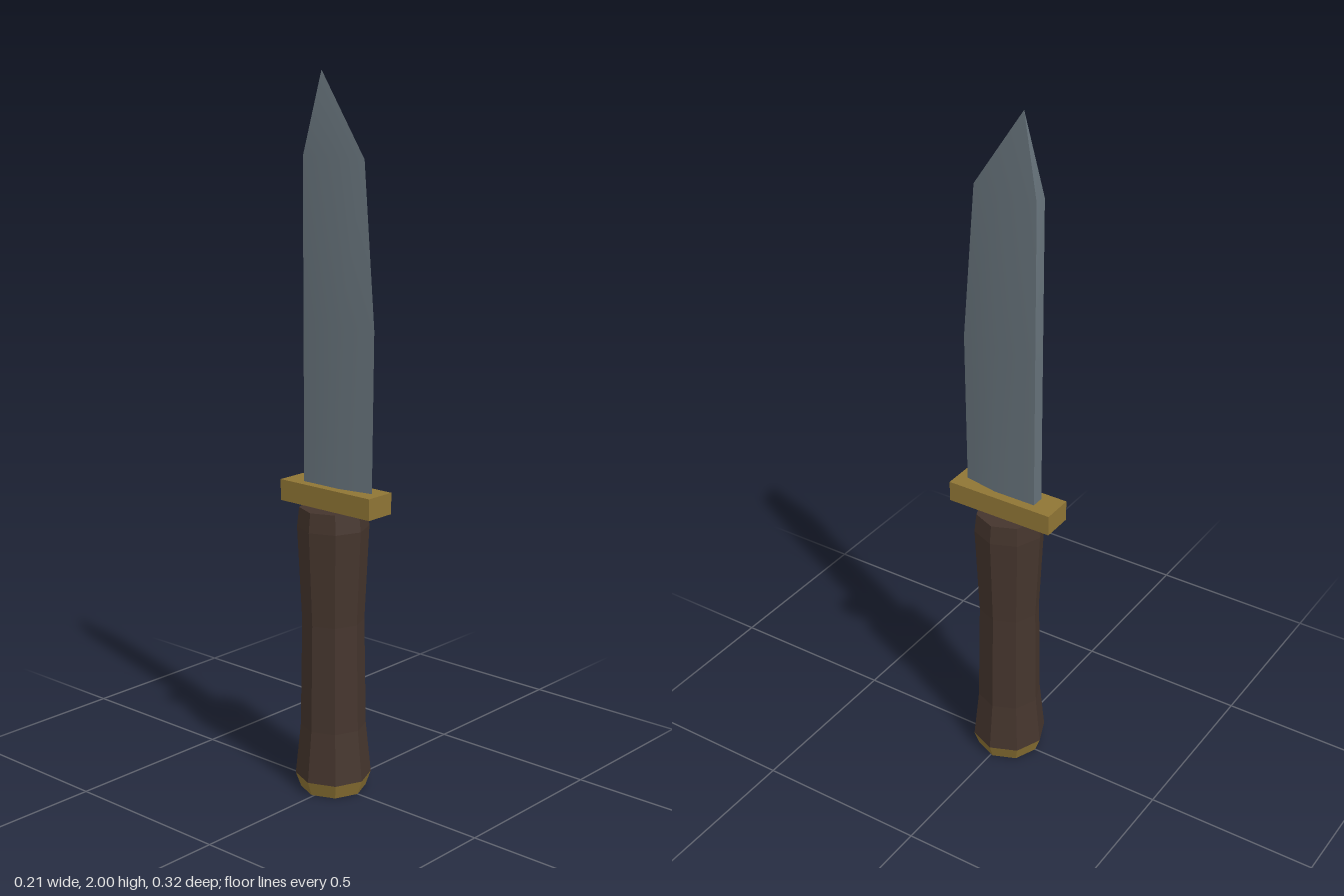
import * as THREE from 'three';
import { toCreasedNormals } from 'three/addons/utils/BufferGeometryUtils.js';

const steel = new THREE.MeshStandardMaterial({ color: 0x66727a });
steel.name = 'steel';
const brass = new THREE.MeshStandardMaterial({ color: 0x8f7535 });
brass.name = 'brass';
const wood = new THREE.MeshStandardMaterial({ color: 0x45352d });
wood.name = 'dark wood';

// Eight-sided turned part from [radius, y] pairs, with flat facets
function turned(name, profile, material) {
  const points = profile.map(([r, y]) => new THREE.Vector2(r, y));
  const geometry = toCreasedNormals(new THREE.LatheGeometry(points, 8), 0.01);
  const mesh = new THREE.Mesh(geometry, material);
  mesh.name = name;
  mesh.position.z = -0.007;
  return mesh;
}

// Blade lofted from five-point sections: flat spine, parallel flats, bevel to the edge
function bladeGeometry() {
  const half = 0.019, spine = -0.098;
  const sections = [[0.86, 0.03, 0.132], [1.33, 0.033, 0.138], [1.775, 0.015, 0.102]];
  const positions = [];
  for (const [y, bevel, edge] of sections) {
    positions.push(-half, y, spine, -half, y, bevel, 0, y, edge, half, y, bevel, half, y, spine);
  }
  positions.push(0, 2, -0.048);
  const tip = sections.length * 5;
  const index = [0, 2, 1, 0, 3, 2, 0, 4, 3]; // closed base
  for (let s = 0; s < sections.length; s++) {
    for (let i = 0; i < 5; i++) {
      const a = s * 5 + i, b = s * 5 + (i + 1) % 5;
      if (s === sections.length - 1) index.push(a, b, tip);
      else index.push(a, b, b + 5, a, b + 5, a + 5);
    }
  }
  const geometry = new THREE.BufferGeometry();
  geometry.setAttribute('position', new THREE.Float32BufferAttribute(positions, 3));
  geometry.setIndex(index);
  return toCreasedNormals(geometry, 0.4);
}

export function createModel() {
  const knife = new THREE.Group();
  knife.name = 'knife';

  // Grip and end cap
  knife.add(turned('pommel', [[0, 0], [0.092, 0], [0.107, 0.042]], brass));
  knife.add(turned('handle', [
    [0.107, 0.042], [0.092, 0.19], [0.087, 0.5], [0.1, 0.77], [0.094, 0.825], [0, 0.825],
  ], wood));

  // Crossguard
  const guard = new THREE.Mesh(new THREE.BoxGeometry(0.092, 0.06, 0.324), brass);
  guard.name = 'guard';
  guard.position.set(0, 0.855, 0);
  knife.add(guard);

  // Blade, cutting edge to the front
  const blade = new THREE.Mesh(bladeGeometry(), steel);
  blade.name = 'blade';
  knife.add(blade);

  return knife;
}
